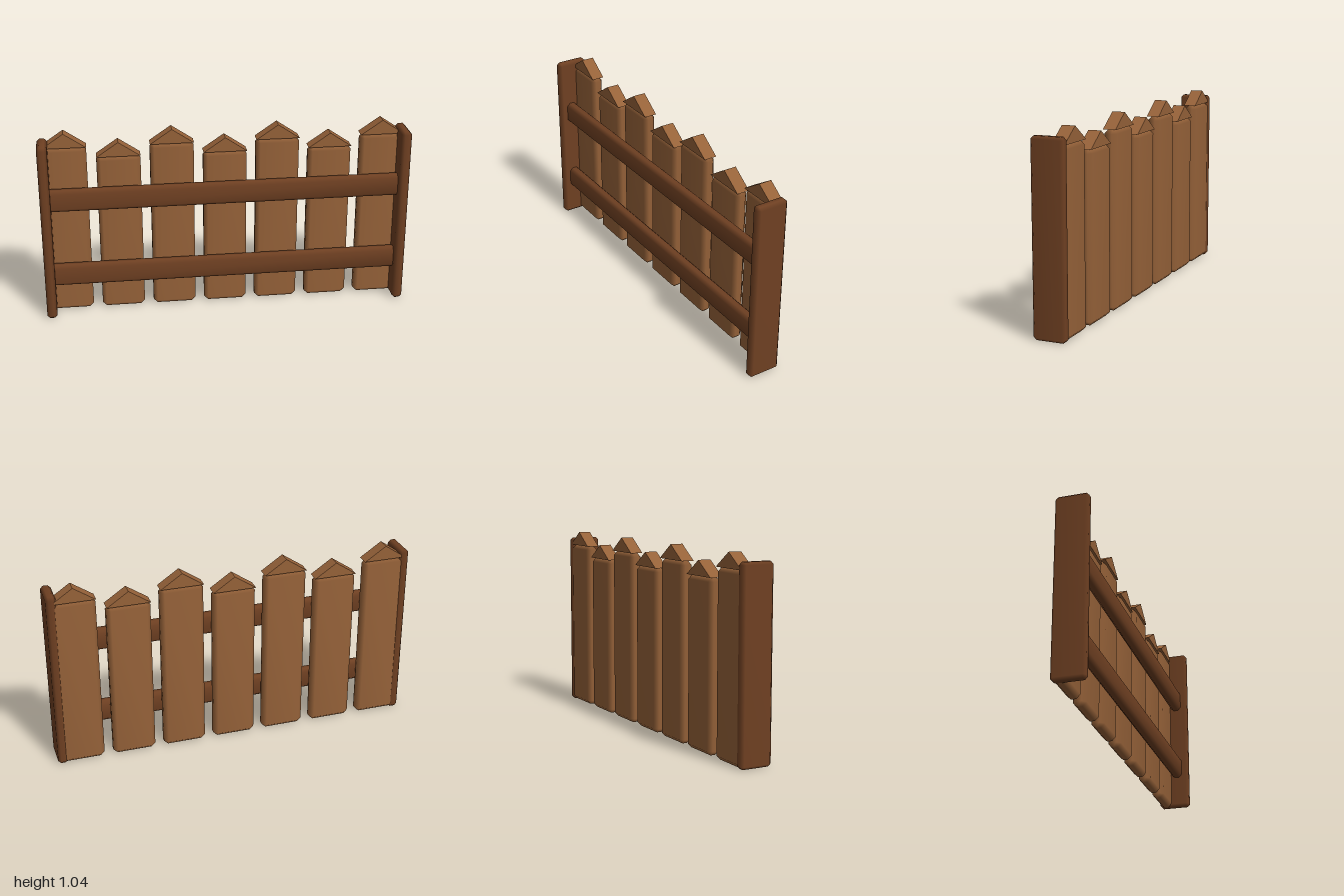
import * as THREE from 'three';
import { mergeVertices } from 'three/addons/utils/BufferGeometryUtils.js';
import { ConvexGeometry } from 'three/addons/geometries/ConvexGeometry.js';

const darkWood = new THREE.MeshStandardMaterial({ name: 'darkWood', color: 0x6f4022 });
const lightWood = new THREE.MeshStandardMaterial({ name: 'lightWood', color: 0x966239 });

// Board with chamfered edges and smooth, area-weighted normals
function chamferedBoard(w, h, d, c) {
  const points = [];
  for (const sx of [-1, 1]) for (const sy of [-1, 1]) for (const sz of [-1, 1]) {
    const x = w / 2, y = h / 2, z = d / 2;
    points.push(
      new THREE.Vector3(sx * x, sy * (y - c), sz * (z - c)),
      new THREE.Vector3(sx * (x - c), sy * y, sz * (z - c)),
      new THREE.Vector3(sx * (x - c), sy * (y - c), sz * z));
  }
  const hull = new ConvexGeometry(points);
  hull.deleteAttribute('normal');
  const geometry = mergeVertices(hull, 1e-5);
  geometry.computeVertexNormals();
  return geometry;
}

// Triangular prism standing on y = 0, centred in z
function gableCap(w, h, d) {
  const shape = new THREE.Shape();
  shape.moveTo(-w / 2, 0);
  shape.lineTo(w / 2, 0);
  shape.lineTo(0, h);
  shape.closePath();
  return new THREE.ExtrudeGeometry(shape, { depth: d, bevelEnabled: false }).translate(0, 0, -d / 2);
}

export function createModel() {
  const group = new THREE.Group();
  group.name = 'fence';
  const add = (name, geometry, material, x, y, z) => {
    const mesh = new THREE.Mesh(geometry, material);
    mesh.name = name;
    mesh.position.set(x, y, z);
    group.add(mesh);
  };

  // End posts
  const post = chamferedBoard(0.055, 1, 0.176, 0.015);
  add('leftPost', post, darkWood, 0.9725, 0.5, 0);
  add('rightPost', post, darkWood, -0.9725, 0.5, 0);

  // Horizontal rails
  const rail = chamferedBoard(1.98, 0.122, 0.061, 0.018);
  add('lowerRail', rail, darkWood, 0, 0.241, 0.02);
  add('upperRail', rail, darkWood, 0, 0.68, 0.02);

  // Pickets, alternating tall and short, each with a pointed cap
  const width = 0.236, depth = 0.07, z = -0.05;
  const cap = gableCap(width, 0.08, depth);
  for (let i = 0; i < 7; i++) {
    const x = (i - 3) * 0.2865;
    const height = i % 2 === 0 ? 0.96 : 0.9;
    add('picket' + (i + 1), chamferedBoard(width, height, depth, 0.022), lightWood, x, height / 2, z);
    add('picketCap' + (i + 1), cap, lightWood, x, height, z);
  }
  return group;
}
